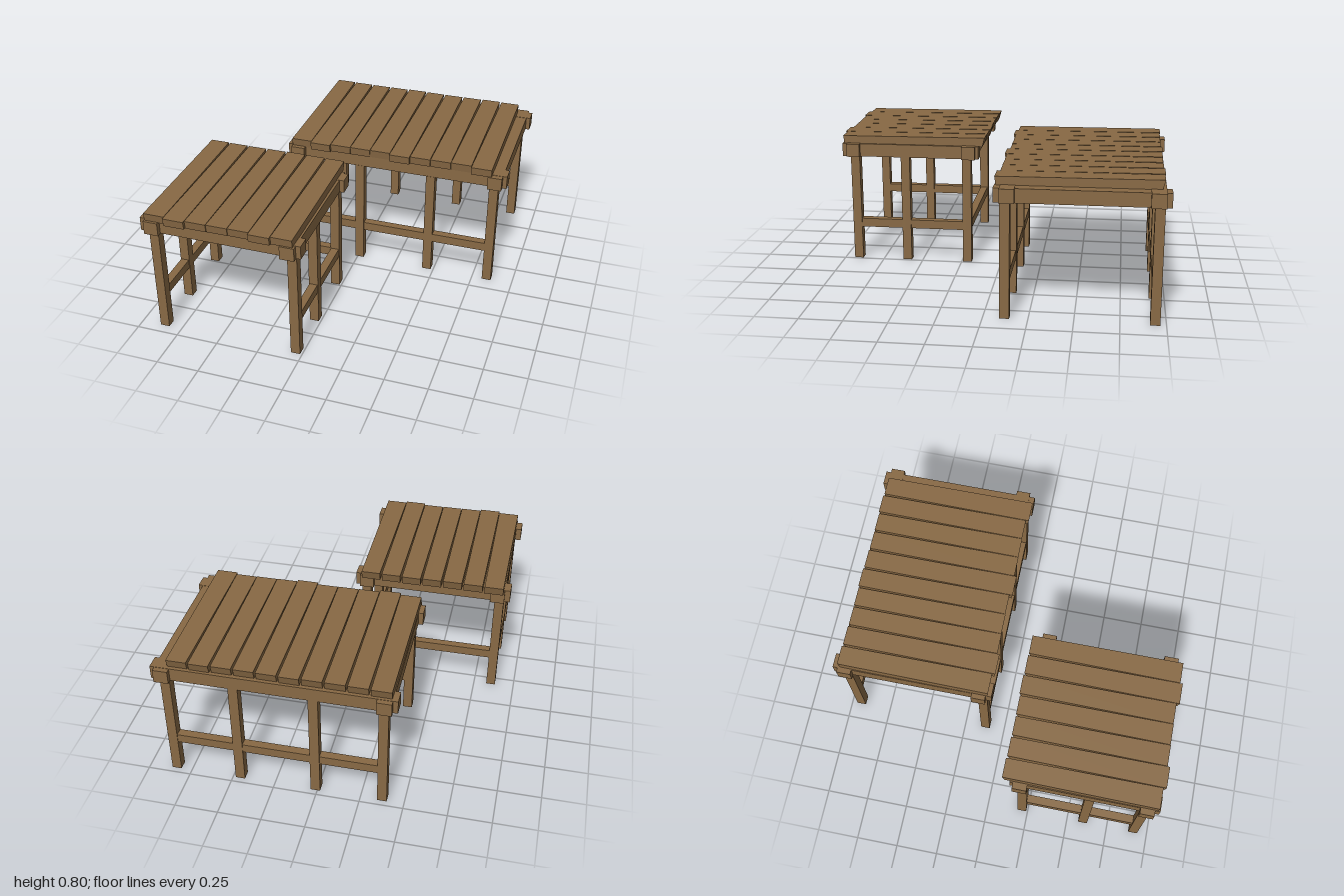
import * as THREE from 'three';

const wood = new THREE.MeshStandardMaterial({ color: 0x886944, flatShading: true });

// Box given by its minimum and maximum along each axis
function bar(name, [x0, x1], [y0, y1], [z0, z1]) {
  const mesh = new THREE.Mesh(new THREE.BoxGeometry(x1 - x0, y1 - y0, z1 - z0), wood);
  mesh.position.set((x0 + x1) / 2, (y0 + y1) / 2, (z0 + z1) / 2);
  mesh.name = name;
  return mesh;
}

// Rough-sawn plank: narrower at the back, ends slanting inwards below, top falling to the front
function plank(x, pitch, zBack, zFront) {
  const geo = new THREE.BoxGeometry(1, 1, 1);
  const p = geo.attributes.position;
  for (let i = 0; i < p.count; i++) {
    const front = p.getZ(i) > 0, low = p.getY(i) < 0;
    p.setX(i, p.getX(i) * (pitch - (front ? 0.002 : 0.012)));
    p.setY(i, low ? 0.746 : front ? 0.795 : 0.8);
    p.setZ(i, front ? zFront - (low ? 0.007 : 0) : zBack + (low ? 0.014 : 0));
  }
  geo.computeVertexNormals();
  const mesh = new THREE.Mesh(geo, wood);
  mesh.position.x = x;
  mesh.name = 'plank';
  return mesh;
}

const around = (c, half) => [c - half, c + half];

function table(name, t) {
  const g = new THREE.Group();
  g.name = name;
  // Frame beams crossing at the corners, with their ends left overhanging
  for (const z of t.beamZ) g.add(bar('longBeam', t.spanX, [0.67, 0.75], around(z, 0.041)));
  for (const x of t.beamX) g.add(bar('crossBeam', around(x, 0.042), [0.668, 0.748], t.spanZ));
  // Solid board closing the frame under the planks
  g.add(bar('underBoard', t.beamX, [0.695, 0.747], t.beamZ));
  // Legs
  for (const [x, z] of t.legs) g.add(bar('leg', around(x, 0.0275), [0, 0.672], around(z, 0.0275)));
  // Stretchers
  for (const [xs, zs] of t.stretchers) g.add(bar('stretcher', xs, [0.208, 0.262], zs));
  // Planks with uneven ends
  const pitch = (t.plankX[1] - t.plankX[0]) / t.planks;
  for (let i = 0; i < t.planks; i++) {
    const jut = [-0.018, 0, -0.014, -0.016][i % 4];
    const back = [0, 0.004, 0.006, 0.005][i % 4];
    g.add(plank(t.plankX[0] + pitch * (i + 0.5), pitch, t.plankZ[0] + back, t.plankZ[1] + jut));
  }
  return g;
}

export function createModel() {
  const model = new THREE.Group();
  model.name = 'tables';

  // Large table: four legs along the front and back
  const lx = [-0.374, 0.011, 0.456, 0.841], lz = [-0.939, -0.12];
  model.add(table('largeTable', {
    spanX: [-0.45, 0.915], spanZ: [-1, -0.06],
    beamX: [-0.38, 0.848], beamZ: [-0.93, -0.135],
    legs: lz.flatMap(z => lx.map(x => [x, z])),
    stretchers: lz.map(z => [[lx[0], lx[3]], around(z, 0.024)]),
    planks: 10, plankX: [-0.422, 0.828], plankZ: [-0.967, -0.062],
  }));

  // Small table: three legs along each side, open at the front
  const sx = [-0.856, -0.04], sz = [0.214, 0.598, 0.913];
  model.add(table('smallTable', {
    spanX: [-0.92, 0.02], spanZ: [0.14, 0.99],
    beamX: [-0.845, -0.05], beamZ: [0.2, 0.92],
    legs: sx.flatMap(x => sz.map(z => [x, z])),
    stretchers: [
      ...sx.map(x => [around(x, 0.024), [sz[0], sz[2]]]),
      [[sx[0], sx[1]], around(sz[0], 0.023)],
    ],
    planks: 7, plankX: [-0.885, -0.018], plankZ: [0.097, 1],
  }));
  return model;
}
